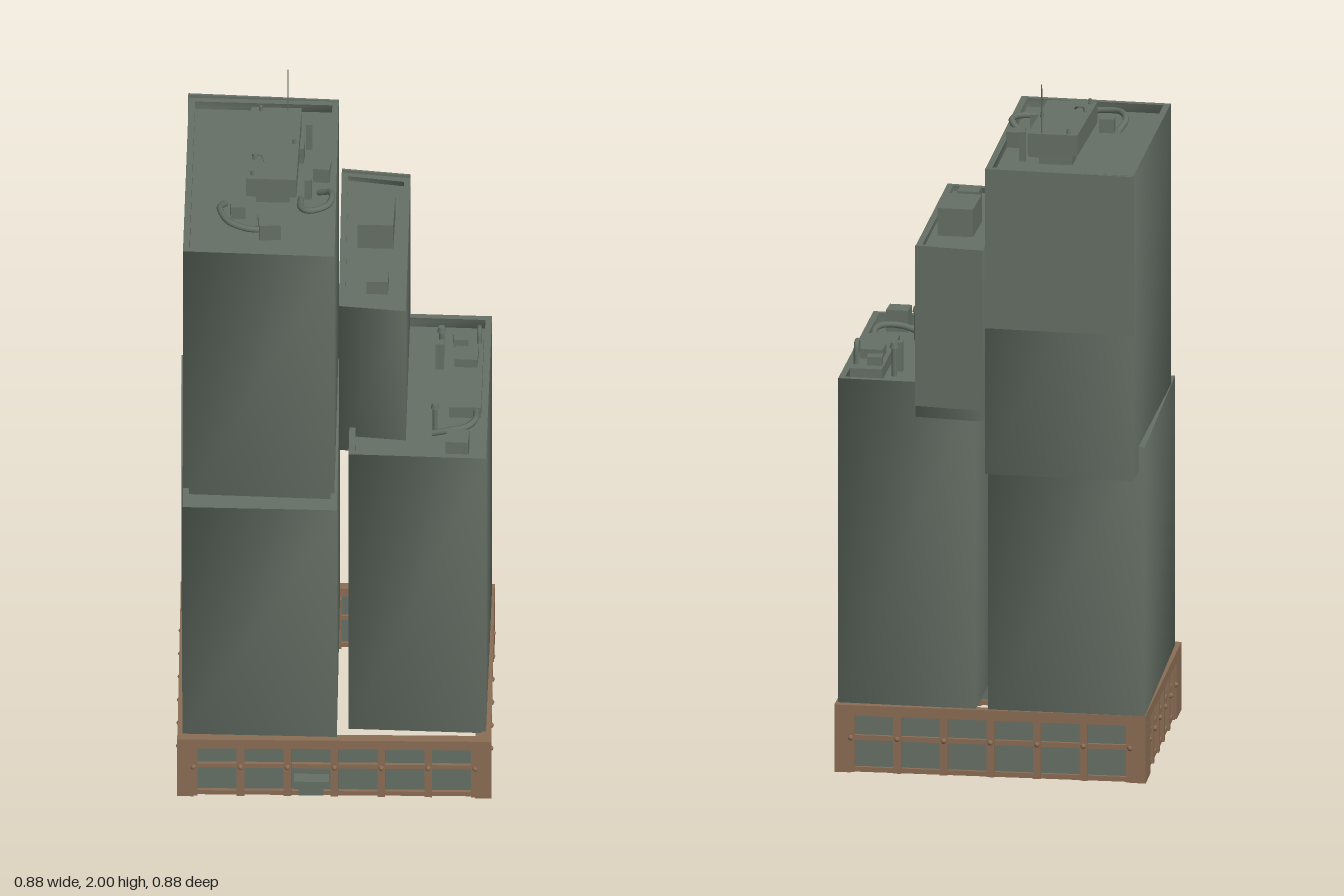
import * as THREE from 'three';

export function createModel() {
  const model = new THREE.Group();
  const concrete = new THREE.MeshStandardMaterial({ color: 0x667066 });
  concrete.name = 'grey green concrete';
  const stone = new THREE.MeshStandardMaterial({ color: 0x8a6d55 });
  stone.name = 'brown stone';

  const add = (parent, name, geometry, material = concrete) => {
    const mesh = new THREE.Mesh(geometry, material);
    mesh.name = name;
    parent.add(mesh);
    return mesh;
  };
  const box = (parent, name, x0, x1, y0, y1, z0, z1, material) => {
    const mesh = add(parent, name, new THREE.BoxGeometry(x1 - x0, y1 - y0, z1 - z0), material);
    mesh.position.set((x0 + x1) / 2, (y0 + y1) / 2, (z0 + z1) / 2);
    return mesh;
  };

  const surface = (points, index) => {
    const g = new THREE.BufferGeometry();
    g.setAttribute('position', new THREE.Float32BufferAttribute(points.flat(), 3));
    g.setIndex(index);
    g.computeVertexNormals();
    return g;
  };
  // Closed band of faces between two four-cornered rings
  const band = (a, b) => {
    const index = [];
    for (let i = 0; i < 4; i++) {
      const j = (i + 1) % 4;
      index.push(i, j, 4 + j, i, 4 + j, 4 + i);
    }
    return surface([...a, ...b], index);
  };

  // Tower with a skewed plan (front left, front right, back right, back left) and a sunken roof
  const tower = (name, plan, y0, y1, sink) => {
    const group = new THREE.Group();
    group.name = name;
    const cx = plan.reduce((s, p) => s + p[0] / 4, 0);
    const cz = plan.reduce((s, p) => s + p[1] / 4, 0);
    const ring = (y, inset) => plan.map(([x, z]) =>
      [x - Math.sign(x - cx) * inset, y, z - Math.sign(z - cz) * inset]);
    const rim = 0.018;
    add(group, 'walls', band(ring(y0, 0), ring(y1, 0)));
    add(group, 'parapetTop', band(ring(y1, 0), ring(y1, rim)));
    add(group, 'parapetInside', band(ring(y1, rim), ring(y1 - sink, rim)));
    add(group, 'roof', surface(ring(y1 - sink, rim), [0, 1, 2, 0, 2, 3]));
    add(group, 'underside', surface(ring(y0, 0), [0, 2, 1, 0, 3, 2]));
    model.add(group);
    return group;
  };

  const lowerTower = tower('lowerTower',
    [[-0.425, 0.39], [0.005, 0.4], [0.005, -0.32], [-0.437, -0.33]], 0.19, 0.975, 0.02);
  lowerTower.userData.level = 'lower';
  const tallTower = tower('tallTower',
    [[-0.425, 0.3], [-0.003, 0.32], [0, -0.415], [-0.418, -0.428]], 0.905, 1.79, 0.025);
  const middleTower = tower('middleTower',
    [[0.008, 0.223], [0.195, 0.245], [0.2, -0.385], [0.008, -0.41]], 1.055, 1.55, 0.015);
  const sideTower = tower('sideTower',
    [[0.037, 0.354], [0.42, 0.37], [0.428, -0.305], [0.04, -0.32]], 0.19, 1.135, 0.03);

  // Thin panels on the backs of the two high towers
  const tallPanel = box(model, 'tallBackPanel', -0.42, 0, 1.33, 1.792, -0.434, -0.427);
  tallPanel.rotation.y = -0.06;
  const middlePanel = box(model, 'middleBackPanel', 0.008, 0.2, 1.09, 1.555, -0.409, -0.402);
  middlePanel.rotation.y = -0.13;

  // Rooftop units: [centre x, centre z, width, depth, top y, turn]
  const units = (parent, floor, list) => list.forEach(([x, z, w, d, top, turn = 0]) => {
    const mesh = box(parent, 'roofUnit', x - w / 2, x + w / 2, floor, top, z - d / 2, z + d / 2);
    mesh.rotation.y = turn;
  });
  const vent = (parent, x, z, r, y0, y1) => {
    add(parent, 'vent', new THREE.CylinderGeometry(r * 0.6, r * 0.6, y1 - y0, 10))
      .position.set(x, (y0 + y1) / 2, z);
    add(parent, 'ventCap', new THREE.CylinderGeometry(r * 0.7, r, 0.016, 10)).position.set(x, y1, z);
  };
  const pipe = (parent, points, r = 0.009) => {
    const curve = new THREE.CatmullRomCurve3(points.map((p) => new THREE.Vector3(...p)));
    add(parent, 'roofPipe', new THREE.TubeGeometry(curve, 28, r, 8));
  };

  // Tall tower roof
  units(tallTower, 1.765, [
    [-0.275, 0.09, 0.042, 0.042, 1.805, 0.05], [-0.185, 0.18, 0.06, 0.06, 1.815, 0.05],
    [-0.11, -0.175, 0.034, 0.04, 1.815, -0.1], [-0.042, -0.088, 0.046, 0.046, 1.81, -0.1],
    [-0.08, 0.008, 0.02, 0.014, 1.83], [-0.08, -0.23, 0.018, 0.02, 1.85],
  ]);
  const plant = box(tallTower, 'plantRoom', -0.247, -0.107, 1.8, 1.86, -0.288, 0.052);
  plant.rotation.y = -0.03;
  box(tallTower, 'plantRoomFoot', -0.225, -0.13, 1.765, 1.8, -0.26, 0.03);
  box(tallTower, 'cableTray', -0.223, -0.219, 1.765, 1.785, 0.06, 0.165);
  pipe(tallTower, [[-0.31, 1.775, 0.05], [-0.325, 1.795, 0.1], [-0.3, 1.8, 0.17], [-0.25, 1.795, 0.195], [-0.2, 1.79, 0.195]]);
  pipe(tallTower, [[-0.05, 1.775, -0.005], [-0.015, 1.8, 0.03], [-0.025, 1.8, 0.09], [-0.075, 1.795, 0.11],
    [-0.098, 1.79, 0.09], [-0.1, 1.775, 0.025]]);
  [[-0.23, -0.045], [-0.215, -0.275], [-0.235, 0.03], [-0.12, -0.12]].forEach(([x, z]) =>
    vent(tallTower, x, z, 0.006, 1.855, 1.867));
  pipe(tallTower, [[-0.235, 1.86, -0.06], [-0.23, 1.872, -0.05], [-0.21, 1.872, -0.045], [-0.2, 1.86, -0.025]], 0.003);
  add(tallTower, 'antenna', new THREE.CylinderGeometry(0.0015, 0.002, 0.14, 6))
    .position.set(-0.14, 1.93, -0.275);

  // Middle tower roof
  units(middleTower, 1.535, [[0.108, -0.148, 0.1, 0.152, 1.615, -0.03], [0.115, 0.113, 0.06, 0.064, 1.577, -0.03]]);

  // Side tower roof
  units(sideTower, 1.105, [
    [0.36, -0.042, 0.09, 0.355, 1.14, -0.01], [0.343, -0.168, 0.042, 0.036, 1.165, 0.05],
    [0.36, -0.087, 0.064, 0.064, 1.167, -0.05], [0.34, 0.307, 0.062, 0.062, 1.167, -0.05],
    [0.285, -0.105, 0.024, 0.024, 1.19],
  ]);
  vent(sideTower, 0.29, -0.16, 0.013, 1.105, 1.195);
  vent(sideTower, 0.276, 0.202, 0.012, 1.105, 1.195);
  pipe(sideTower, [[0.39, 1.13, 0.14], [0.388, 1.14, 0.19], [0.365, 1.14, 0.225], [0.32, 1.135, 0.235], [0.268, 1.12, 0.23]]);
  pipe(sideTower, [[0.395, 1.14, -0.175], [0.395, 1.195, -0.17], [0.395, 1.2, -0.145], [0.395, 1.165, -0.135]], 0.007);

  // Street-level walls: local x along the wall, outer face at z = 0
  const deep = 0.045;
  const streetWall = (name, length, pier, bays, x, z, turn) => {
    const wall = new THREE.Group();
    wall.name = name;
    const h = length / 2, open = h - pier, step = (2 * open) / bays;
    box(wall, 'cornice', -h, h, 0.165, 0.195, -0.028, 0, stone);
    box(wall, 'leftPier', -h, -open, 0, 0.165, -deep, 0, stone);
    box(wall, 'rightPier', open, h, 0, 0.165, -deep, 0, stone);
    box(wall, 'middleRail', -open, open, 0.092, 0.106, -0.035, -0.01, stone);
    box(wall, 'sill', -open, open, 0, 0.014, -0.035, -0.01, stone);
    box(wall, 'shopPanels', -open, open, 0.005, 0.168, -0.028, -0.02, concrete);
    for (let i = 0; i <= bays; i++) {
      const px = -open + i * step;
      box(wall, 'post', px - 0.011, px + 0.011, 0, 0.168, -deep, -0.004, stone);
      add(wall, 'postBoss', new THREE.SphereGeometry(0.008, 8, 6), stone).position.set(px, 0.1, -0.003);
    }
    wall.position.set(x, 0, z);
    wall.rotation.y = turn;
    model.add(wall);
    return wall;
  };
  const front = streetWall('frontStreetWall', 0.875, 0.045, 6, -0.002, 0.418, 0);
  streetWall('backStreetWall', 0.875, 0.045, 6, -0.002, -0.33, Math.PI);
  streetWall('rightStreetWall', 0.746, 0.1, 5, 0.435, 0.044, Math.PI / 2);
  streetWall('leftStreetWall', 0.746, 0.1, 5, -0.439, 0.044, -Math.PI / 2);

  // Entrance with a small canopy
  box(front, 'entranceCanopy', -0.112, -0.015, 0.056, 0.066, -0.02, 0.018);
  box(front, 'entranceDoor', -0.1, -0.03, 0, 0.056, -0.02, -0.008);

  return model;
}
